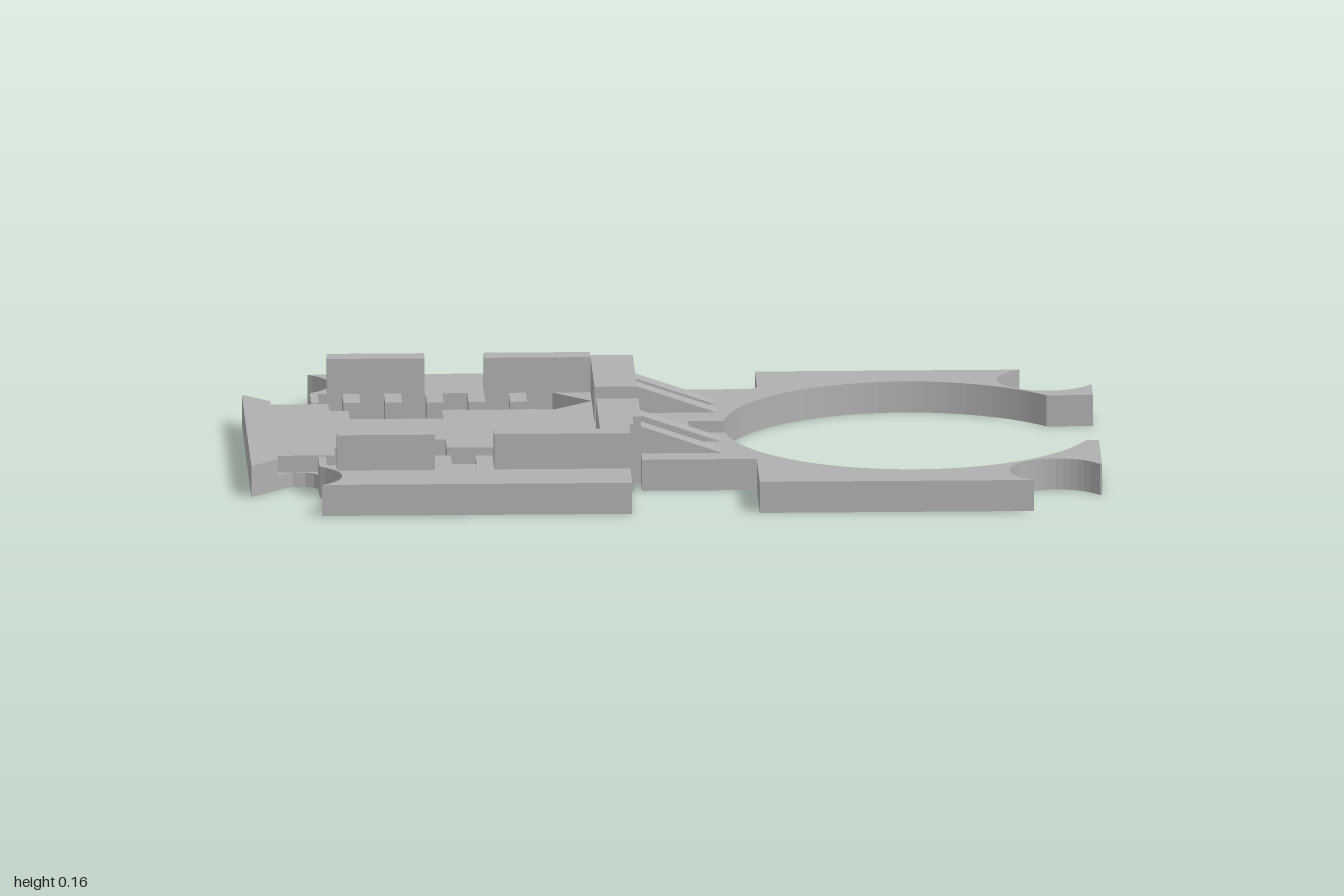
import * as THREE from 'three';

const FLOOR = 0.035, TOP = 0.075, WALL = 0.16;
const ZC = -0.003; // plan mirror line

export function createModel() {
  const group = new THREE.Group();
  group.name = 'bracketPlate';
  const grey = new THREE.MeshStandardMaterial({ color: 0xb0b0b0 });
  grey.name = 'grey';

  const add = (name, geometry) => {
    const mesh = new THREE.Mesh(geometry, grey);
    mesh.name = name;
    group.add(mesh);
    return mesh;
  };
  const path = (pts) => pts.map(([x, z]) => new THREE.Vector2(x, z));
  // Upright prism from a plan outline of [x, z] points
  const prism = (name, pts, y0, y1, holes = []) => {
    const shape = new THREE.Shape(path(pts));
    holes.forEach((h) => shape.holes.push(new THREE.Path(path(h))));
    const g = new THREE.ExtrudeGeometry(shape, { depth: y1 - y0, bevelEnabled: false });
    g.rotateX(Math.PI / 2).translate(0, y1, 0);
    return add(name, g);
  };
  const rect = (x0, x1, z0, z1) => [[x0, z0], [x1, z0], [x1, z1], [x0, z1]];
  const arc = (cx, cz, r, a0, a1, n) => Array.from({ length: n + 1 }, (_, i) => {
    const a = a0 + (a1 - a0) * i / n;
    return [cx + r * Math.cos(a), cz + r * Math.sin(a)];
  });
  const mirror = (pts, s) => pts.map(([x, v]) => [x, s * v + ZC]);

  // Ring end and waist, shared by both layers, from back left to front left
  const ringStart = Math.asin(-0.29 / 0.44);
  const ringEnd = Math.asin(0.16 / 0.44);
  const tab = Math.asin(0.058 / 0.44);
  const common = [
    [-0.24, -0.555], [-0.24, -0.44], [-0.18, -0.38], [0.19, -0.38], [0.207, -0.387], [0.213, -0.405],
    [0.213, -0.555],
    ...arc(0.895, -0.457, 0.115, -2.12, -5.76, 24),
    [1, -0.4], [1, -0.295],
    ...arc(0.56, -0.005, 0.44, ringStart, -Math.PI + tab, 44),
    [0.04, -0.063], [0.04, 0.053],
    ...arc(0.56, -0.005, 0.44, Math.PI - tab, ringEnd, 52),
    [1, 0.155], [1, 0.395],
    ...arc(0.895, 0.452, 0.115, 5.76, 2.12, 24),
    [0.19, 0.55], [0.19, 0.32], [-0.08, 0.32], [-0.08, 0.24], [-0.1, 0.24],
    [-0.1, 0.32], [-0.11, 0.32], [-0.11, 0.55],
  ];

  // Left end of one side, from the outer edge towards the middle
  const bite = arc(-0.9, 0.46, 0.11, 0.99, -0.98, 16);
  const lowEnd = [...bite, [-0.84, 0.285], [-0.85, 0.27], [-0.87, 0.26], [-0.9, 0.26], [-0.925, 0.28], [-1, 0.357]];
  const highEnd = [...bite, [-0.84, 0.357], [-0.27, 0.357], [-0.18, 0.27], [-0.27, 0.188],
    [-0.535, 0.188], [-0.535, 0.105], [-0.755, 0.105], [-0.755, 0.188],
    [-0.8, 0.188], [-0.8, 0.257], [-0.935, 0.257], [-0.935, 0.29], [-1, 0.357]];
  const outline = (end) => [...common, ...mirror(end, 1), ...mirror(end, -1).reverse()];

  // Lower layer with the slots and the rows of small holes
  const holes = [];
  for (const s of [-1, 1]) {
    holes.push(mirror(rect(-0.755, -0.535, 0.105, 0.188), s));
    for (let i = 0; i < 6; i++) {
      const x = -0.822 + i * 0.098;
      holes.push(mirror(rect(x, x + 0.058, 0.267, 0.356), s));
    }
  }
  prism('lowerPlate', outline(lowEnd), 0, FLOOR, holes);

  // Upper layer, cut away over the channels
  prism('upperPlate', outline(highEnd), FLOOR, TOP);

  // Dividers between the small holes
  for (const s of [-1, 1]) {
    for (let i = 0; i < 6; i++) {
      const x1 = -0.822 + i * 0.098;
      const x0 = i ? x1 - 0.04 : -0.84;
      prism('channelDivider', mirror(rect(x0, x1, 0.267, 0.357), s), FLOOR, TOP);
    }
    // Short outer wall
    prism('sideWall', mirror(rect(-0.8, -0.57, 0.357, 0.408), s), TOP, WALL);
  }

  // Angled corner walls
  prism('backCornerWall', [[-0.43, -0.411], [-0.18, -0.411], [-0.18, -0.38], [-0.08, -0.38],
    [-0.08, -0.062], [-0.18, -0.062], [-0.18, -0.36], [-0.43, -0.36]], TOP, WALL);
  prism('frontCornerWall', [[-0.43, 0.405], [-0.11, 0.405], [-0.11, 0.32], [-0.1, 0.32], [-0.1, 0.24],
    [-0.08, 0.24], [-0.08, 0.056], [-0.18, 0.056], [-0.18, 0.354], [-0.43, 0.354]], TOP, WALL);

  // Sloping ribs that brace the walls
  const ribShape = new THREE.Shape(path([[-0.08, TOP], [0.11, TOP], [-0.08, 0.14]]));
  for (const z of [-0.282, -0.202, 0.088, 0.203]) {
    const g = new THREE.ExtrudeGeometry(ribShape, { depth: 0.053, bevelEnabled: false });
    add('braceRib', g.translate(0, 0, z));
  }
  return group;
}
